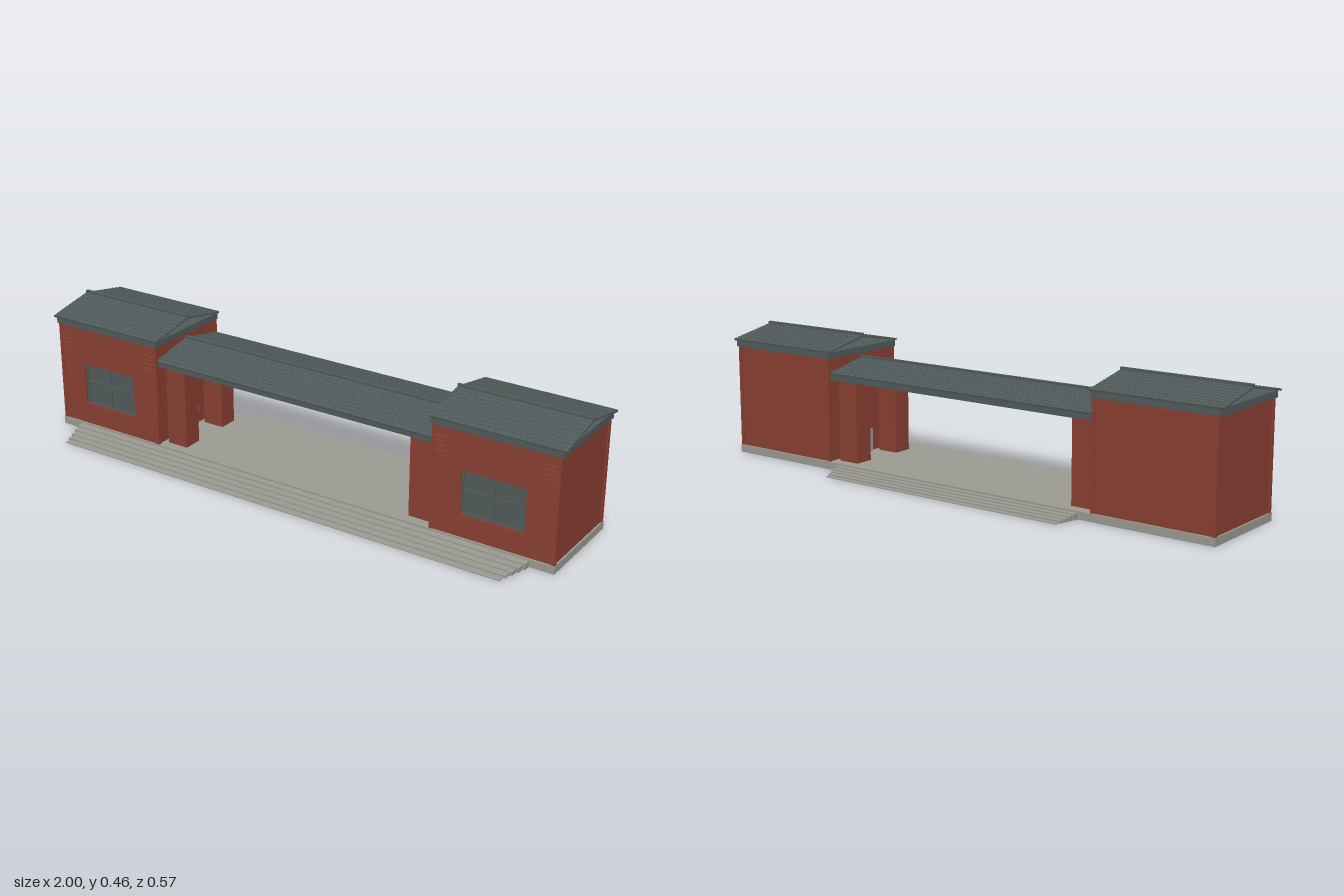
import * as THREE from 'three';
import { mergeGeometries } from 'three/addons/utils/BufferGeometryUtils.js';

const material = (name, color) => {
  const m = new THREE.MeshStandardMaterial({ color });
  m.name = name;
  return m;
};

const RIDGE_Z = -0.018;

// Box given by its limits on each axis
function boxGeo(x0, x1, y0, y1, z0, z1) {
  return new THREE.BoxGeometry(x1 - x0, y1 - y0, z1 - z0)
    .translate((x0 + x1) / 2, (y0 + y1) / 2, (z0 + z1) / 2);
}

export function createModel() {
  const brick = material('brick', 0x8c4032);
  const slate = material('slate', 0x525c5c);
  const stone = material('stone', 0x9d9c94);
  const model = new THREE.Group();

  const add = (parent, name, geo, mat) => {
    const mesh = new THREE.Mesh(geo, mat);
    mesh.name = name;
    parent.add(mesh);
    return mesh;
  };
  const box = (parent, name, mat, ...limits) => add(parent, name, boxGeo(...limits), mat);

  // Open gable roof: two tiled slopes and a ridge cap
  function gableRoof(name, x0, x1, ridgeY, run, rise) {
    const roof = new THREE.Group();
    roof.name = name;
    const angle = Math.atan2(rise, run);
    const length = Math.hypot(run, rise);
    const width = x1 - x0;
    const rows = 9;
    const step = length / rows;
    const columns = Math.round(width / 0.022);
    for (const turn of [0, Math.PI]) {
      const place = (g) => g.rotateX(angle).rotateY(turn)
        .translate((x0 + x1) / 2, ridgeY, RIDGE_Z);
      const parts = [new THREE.BoxGeometry(width, 0.006, length).translate(0, -0.003, length / 2)];
      for (let r = 0; r < rows; r++) {
        // Lower lip of each tile course
        parts.push(new THREE.BoxGeometry(width, 0.0012, 0.003)
          .translate(0, 0.0006, (r + 1) * step - 0.0015));
        // Staggered joints between tiles
        for (let c = 0; c < columns - 1; c++) {
          const x = -width / 2 + (c + (r % 2 ? 0.5 : 1)) * width / columns;
          parts.push(new THREE.BoxGeometry(0.0025, 0.0008, step)
            .translate(x, 0.0004, (r + 0.5) * step));
        }
      }
      add(roof, turn ? 'backSlope' : 'frontSlope', place(mergeGeometries(parts)), slate);
    }
    box(roof, 'ridgeCap', slate, x0, x1, ridgeY - 0.002, ridgeY + 0.008,
      RIDGE_Z - 0.005, RIDGE_Z + 0.005);
    return roof;
  }

  // Stone platform with steps that widen towards the top
  box(model, 'platform', stone, -0.985, 0.985, 0, 0.027, -0.195, 0.158);
  const heights = [0.021, 0.0165, 0.012, 0.008, 0.003];
  heights.forEach((h, i) => {
    const front = 0.158 + 0.0254 * (i + 1);
    const back = -0.195 - 0.0178 * (i + 1);
    const fw = 0.9 - 0.0085 * i;
    const bw = 0.5 - 0.005 * i;
    box(model, 'frontStep', stone, -fw, fw, 0, h, 0.15, front);
    box(model, 'backStep', stone, -bw, bw, 0, h, back, -0.19);
  });

  // One brick house, built on the +x side and repeated for the other side
  function house(side) {
    const g = new THREE.Group();
    g.name = side > 0 ? 'leftHouse' : 'rightHouse';
    const part = (name, mat, a, b, ...rest) =>
      box(g, name, mat, Math.min(side * a, side * b), Math.max(side * a, side * b), ...rest);

    part('walls', brick, 0.549, 0.979, 0.027, 0.392, -0.188, 0.138);

    // Front wall with an opening for the window
    const wall = new THREE.Shape();
    wall.moveTo(0.549, 0.027).lineTo(0.979, 0.027).lineTo(0.979, 0.392).lineTo(0.549, 0.392);
    const hole = new THREE.Path();
    hole.moveTo(0.652, 0.105).lineTo(0.652, 0.257).lineTo(0.876, 0.257).lineTo(0.876, 0.105);
    wall.holes.push(hole);
    const front = new THREE.ExtrudeGeometry(wall, { depth: 0.014, bevelEnabled: false });
    front.translate(side > 0 ? 0 : -1.528, 0, 0.138);
    add(g, 'frontWall', front, brick);

    // Window: pane, frame and cross bars
    part('windowPane', slate, 0.652, 0.876, 0.105, 0.257, 0.136, 0.141);
    for (const x of [0.655, 0.764, 0.873]) {
      part('windowPost', slate, x - 0.003, x + 0.003, 0.105, 0.257, 0.14, 0.146);
    }
    for (const y of [0.108, 0.19, 0.254]) {
      part('windowRail', slate, 0.652, 0.876, y - 0.003, y + 0.003, 0.14, 0.146);
    }

    // Corner pilasters
    for (const x of [0.545, 0.972]) {
      for (const z of [-0.192, 0.143]) {
        part('cornerPilaster', brick, x, x + 0.012, 0.027, 0.392, z, z + 0.012);
      }
    }

    // Projecting brick courses near the front corners
    for (const x of [0.558, 0.932]) {
      for (let i = 0; i < 4; i++) {
        const y = 0.306 + i * 0.0157;
        part('brickCourse', brick, x, x + 0.04, y, y + 0.003, 0.15, 0.159);
      }
    }

    // Low panel on the inner wall
    part('wallPanel', stone, 0.535, 0.55, 0.027, 0.11, -0.058, 0.022);

    part('frieze', slate, 0.542, 0.99, 0.39, 0.413, -0.194, 0.157);
    const [x0, x1] = side > 0 ? [0.537, 1] : [-1, -0.537];
    g.add(gableRoof('houseRoof', x0, x1, 0.452, 0.18, 0.035));

    // Pair of piers carrying the passage roof
    for (const z of [-0.156, 0.05]) {
      part('pier', brick, 0.45, 0.53, 0.027, 0.318, z, z + 0.07);
    }
    return g;
  }
  model.add(house(1), house(-1));

  // Covered passage between the houses
  box(model, 'passageCeiling', slate, -0.548, 0.548, 0.316, 0.337, -0.182, 0.14);
  for (const x of [-0.25, 0, 0.25]) {
    box(model, 'ceilingLight', slate, x - 0.035, x + 0.035, 0.313, 0.317, RIDGE_Z - 0.005, RIDGE_Z + 0.005);
  }
  model.add(gableRoof('passageRoof', -0.548, 0.548, 0.374, 0.168, 0.033));

  return model;
}
